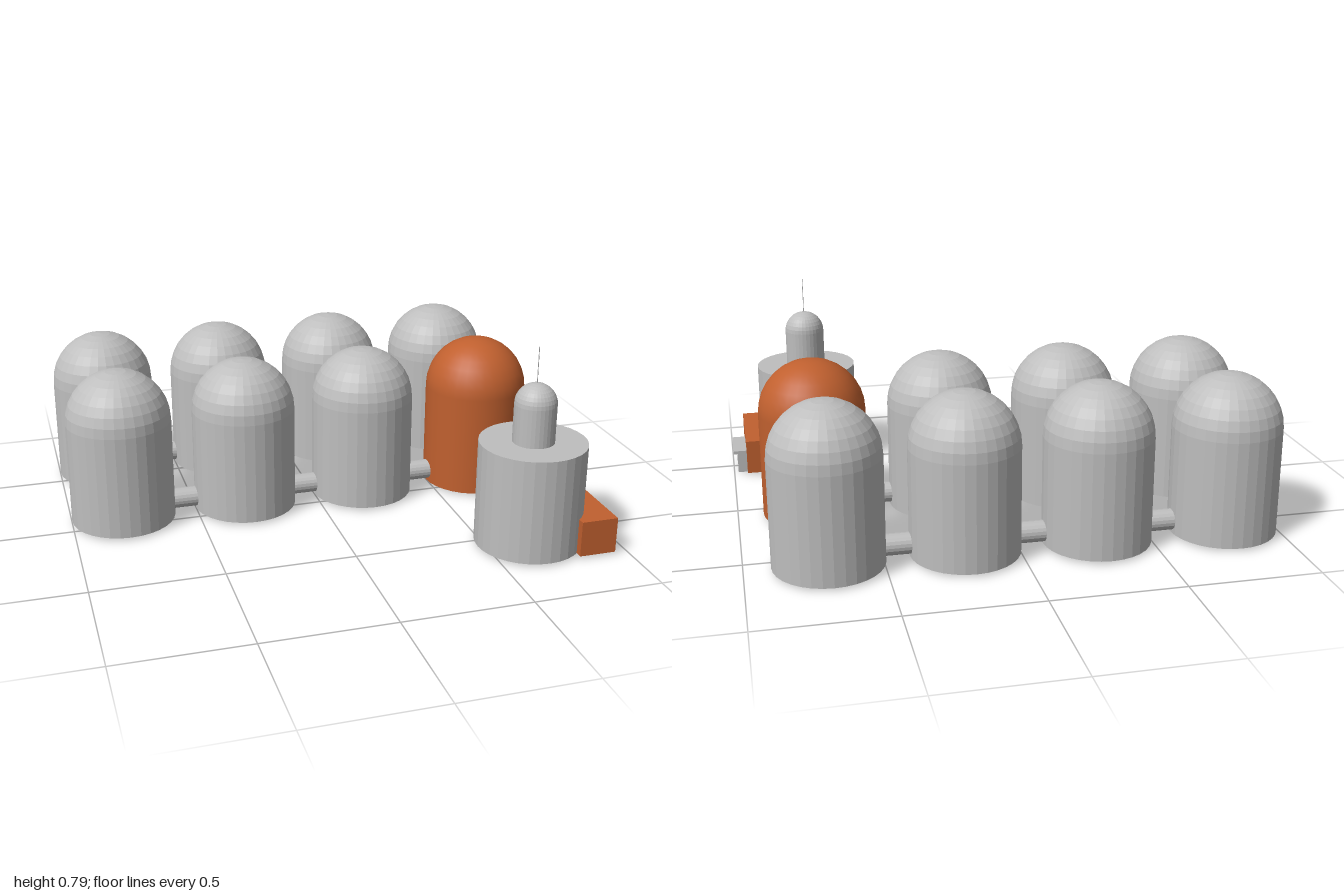
import * as THREE from 'three';

const grey = new THREE.MeshStandardMaterial({ color: 0xbebebe, flatShading: true });
grey.name = 'concrete grey';
const orange = new THREE.MeshStandardMaterial({ color: 0xc0602f });
orange.name = 'rust orange';

const BASE = 0.01, SHOULDER = 0.42, R = 0.205, PIPE_Y = 0.06, PIPE_R = 0.04;

function add(parent, name, geometry, material, x, y, z) {
  const mesh = new THREE.Mesh(geometry, material);
  mesh.name = name;
  mesh.position.set(x, y, z);
  parent.add(mesh);
  return mesh;
}

function box(parent, name, material, [x0, x1], [y0, y1], [z0, z1]) {
  return add(parent, name, new THREE.BoxGeometry(x1 - x0, y1 - y0, z1 - z0), material,
    (x0 + x1) / 2, (y0 + y1) / 2, (z0 + z1) / 2);
}

// Upright cylinder closed by a hemispherical dome
function domedCylinder(parent, name, material, r, y0, y1, x, z) {
  const group = new THREE.Group();
  group.name = name;
  group.position.set(x, 0, z);
  add(group, name + 'Wall', new THREE.CylinderGeometry(r, r, y1 - y0, 32), material, 0, (y0 + y1) / 2, 0);
  add(group, name + 'Dome', new THREE.SphereGeometry(r, 32, 8, 0, Math.PI * 2, 0, Math.PI / 2), material, 0, y1, 0);
  parent.add(group);
}

// Horizontal pipe between two ground points
function pipe(parent, name, x0, z0, x1, z1) {
  const length = Math.hypot(x1 - x0, z1 - z0);
  const mesh = add(parent, name, new THREE.CylinderGeometry(PIPE_R, PIPE_R, length, 20), grey,
    (x0 + x1) / 2, PIPE_Y, (z0 + z1) / 2);
  mesh.quaternion.setFromUnitVectors(new THREE.Vector3(0, 1, 0),
    new THREE.Vector3((x1 - x0) / length, 0, (z1 - z0) / length));
}

export function createModel() {
  const model = new THREE.Group();
  model.name = 'siloPlant';

  // Two rows of four silos, joined by pipes along each row
  const columns = [-0.795, -0.298, 0.2, 0.697];
  const rows = [-0.567, -0.073];
  for (const z of rows) {
    columns.forEach((x, i) => {
      const special = z === rows[1] && i === 3;
      domedCylinder(model, special ? 'orangeSilo' : 'silo', special ? orange : grey, R, BASE, SHOULDER, x, z);
      if (i > 0) pipe(model, 'rowPipe', columns[i - 1] + 0.15, z, x - 0.15, z);
    });
  }

  // Cross pipes linking the rows and the control tower
  const tx = 0.668, tz = 0.565;
  pipe(model, 'crossPipe', 0.687, rows[0] + 0.15, 0.687, rows[1] - 0.15);
  pipe(model, 'towerPipe', 0.687, rows[1] + 0.15, 0.687, tz - 0.15);

  // Control tower with domed turret and antenna
  add(model, 'towerBase', new THREE.CylinderGeometry(R, R, SHOULDER - BASE, 32), grey, tx, (SHOULDER + BASE) / 2, tz);
  domedCylinder(model, 'turret', grey, 0.08, SHOULDER, 0.57, tx, tz);
  add(model, 'antenna', new THREE.CylinderGeometry(0.0015, 0.0015, 0.15, 6), grey, tx, 0.716, tz);

  // Entrance block and porch
  box(model, 'entranceBlock', orange, [0.8, 0.945], [BASE, 0.15], [0.375, 0.75]);
  box(model, 'porchDoor', grey, [0.91, 0.975], [0, 0.088], [0.428, 0.564]);
  for (const z of [0.424, 0.568]) box(model, 'porchJamb', grey, [0.91, 0.983], [0, 0.088], [z - 0.005, z + 0.005]);
  box(model, 'porchRoof', grey, [0.91, 1], [0.087, 0.1], [0.405, 0.585]);

  return model;
}
